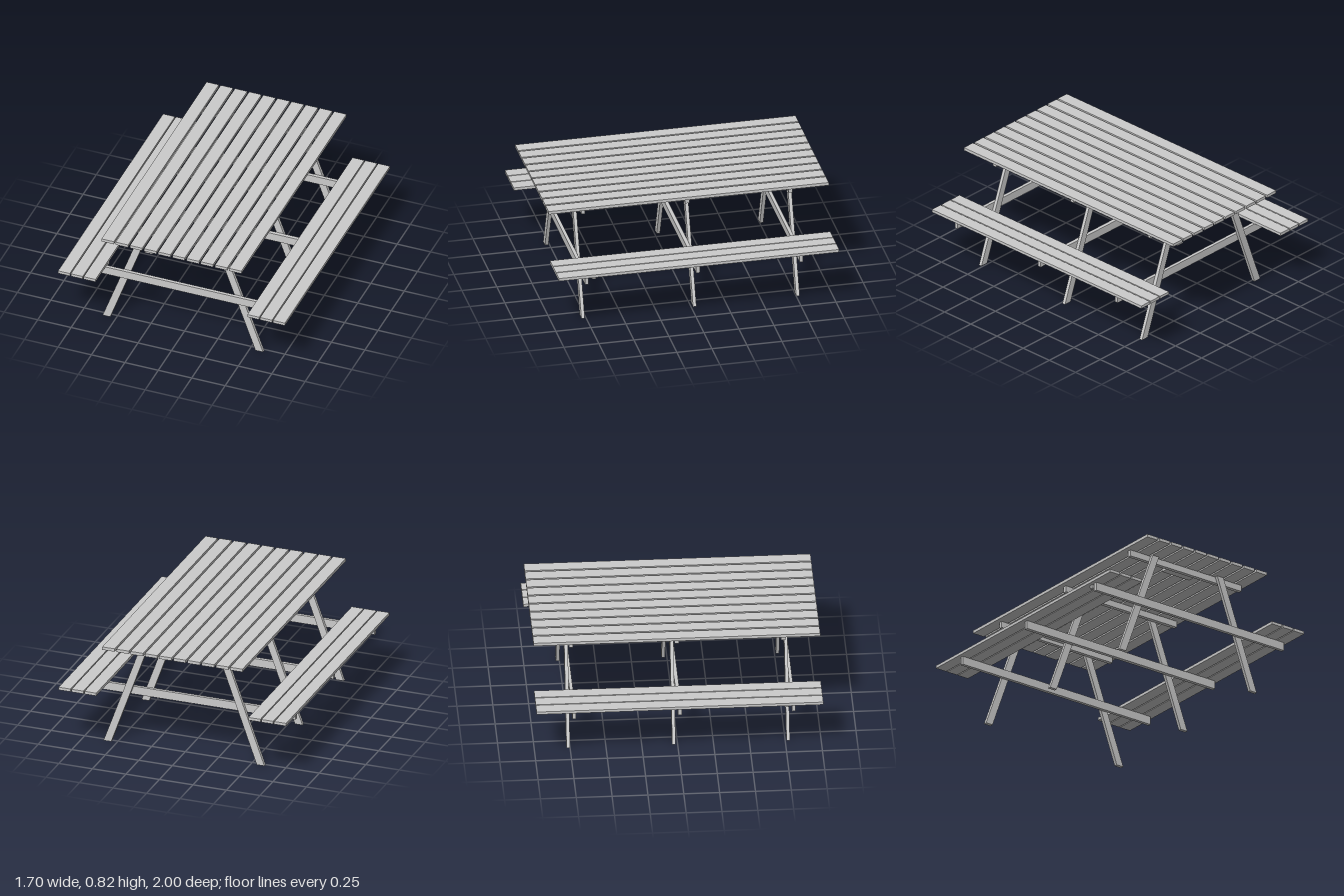
import * as THREE from 'three';

const material = new THREE.MeshStandardMaterial({ color: 0xcccccc });

// Box given by its extents on each axis
function board(name, [x0, x1], [y0, y1], [z0, z1]) {
  const mesh = new THREE.Mesh(new THREE.BoxGeometry(x1 - x0, y1 - y0, z1 - z0), material);
  mesh.position.set((x0 + x1) / 2, (y0 + y1) / 2, (z0 + z1) / 2);
  mesh.name = name;
  return mesh;
}

// Slanted leg, cut level at the floor and under the top
function leg(side, [z0, z1]) {
  const points = [[0.543, 0], [0.6, 0], [0.309, 0.8], [0.255, 0.8]];
  const shape = new THREE.Shape(points.map(([x, y]) => new THREE.Vector2(side * x, y)));
  const geometry = new THREE.ExtrudeGeometry(shape, { depth: z1 - z0, bevelEnabled: false });
  const mesh = new THREE.Mesh(geometry, material);
  mesh.position.z = z0;
  mesh.name = side > 0 ? 'leftLeg' : 'rightLeg';
  return mesh;
}

export function createModel() {
  const table = new THREE.Group();
  table.name = 'picnicTable';

  // Table top
  const top = new THREE.Group();
  top.name = 'tableTop';
  for (let i = 0; i < 10; i++) {
    const x = (i - 4.5) * 0.106;
    top.add(board('topPlank', [x - 0.046, x + 0.046], [0.8, 0.822], [-1, 1]));
  }
  table.add(top);

  // Benches
  for (const side of [-1, 1]) {
    const bench = new THREE.Group();
    bench.name = side > 0 ? 'leftBench' : 'rightBench';
    for (let i = 0; i < 3; i++) {
      const x = side * (0.612 + i * 0.096);
      bench.add(board('seatPlank', [x - 0.044, x + 0.044], [0.44, 0.461], [-1, 1]));
    }
    // Cleat under the front end of the seat
    const cx = side * 0.695;
    bench.add(board('seatCleat', [cx - 0.125, cx + 0.125], [0.415, 0.44], [0.73, 0.757]));
    table.add(bench);
  }

  // Three trestles: legs, top bearer and seat bearer
  const trestles = [
    { name: 'frontTrestle', leg: [0.759, 0.783], top: [0.73, 0.758], seat: [0.783, 0.807] },
    { name: 'middleTrestle', leg: [-0.038, -0.014], top: [-0.013, 0.016], seat: [-0.013, 0.014] },
    { name: 'backTrestle', leg: [-0.775, -0.75], top: [-0.749, -0.722], seat: [-0.749, -0.725] },
  ];
  for (const t of trestles) {
    const trestle = new THREE.Group();
    trestle.name = t.name;
    trestle.add(
      leg(-1, t.leg),
      leg(1, t.leg),
      board('topBearer', [-0.485, 0.485], [0.755, 0.8], t.top),
      board('seatBearer', [-0.822, 0.82], [0.378, 0.438], t.seat),
    );
    table.add(trestle);
  }

  // Flat plates under the top, inside the end bearers
  table.add(board('frontPlate', [-0.118, 0.118], [0.78, 0.8], [0.638, 0.73]));
  table.add(board('backPlate', [-0.118, 0.118], [0.78, 0.8], [-0.722, -0.633]));

  return table;
}
